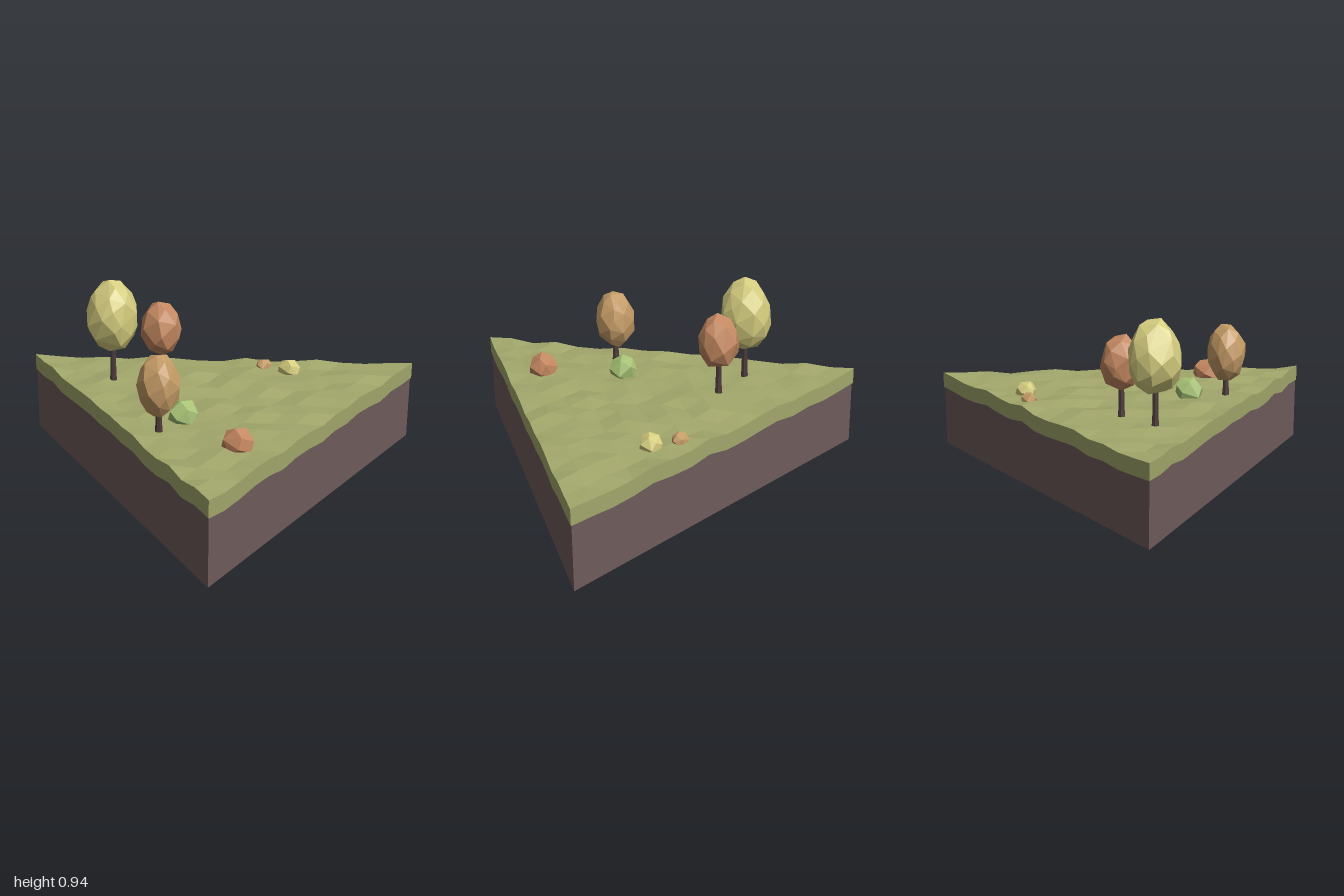
import * as THREE from 'three';
import { ConvexGeometry } from 'three/addons/geometries/ConvexGeometry.js';

const APEX = -0.866, LENGTH = 1.732, ROWS = 16;

function seeded(seed) {
  let s = seed * 7919 + 17;
  return () => {
    s = (s * 16807) % 2147483647;
    return s / 2147483647;
  };
}

function makeMesh(name, geometry, color) {
  const material = new THREE.MeshStandardMaterial({ color, flatShading: true });
  const mesh = new THREE.Mesh(geometry, material);
  mesh.name = name;
  return mesh;
}

// Triangular slab of turf: a bumpy grid on top, the same grid below, and a skirt
function turfGeometry() {
  const random = seeded(5), thickness = 0.083, pos = [];
  const grid = [];
  for (let i = 0; i <= ROWS; i++) {
    grid.push([]);
    for (let j = 0; j <= i; j++) {
      const corner = (i === 0) || (i === ROWS && (j === 0 || j === ROWS));
      const y = corner ? 0.41 : 0.394 + 0.023 * random();
      grid[i].push(new THREE.Vector3(APEX + LENGTH * i / ROWS, y, (2 * j - i) / ROWS));
    }
  }
  const low = p => new THREE.Vector3(p.x, p.y - thickness, p.z);
  const tri = (...points) => points.forEach(p => pos.push(p.x, p.y, p.z));
  const layers = (a, b, c) => {
    tri(a, b, c);
    tri(low(a), low(c), low(b));
  };
  for (let i = 0; i < ROWS; i++) {
    for (let j = 0; j <= i; j++) {
      layers(grid[i][j], grid[i + 1][j + 1], grid[i + 1][j]);
      if (j < i) layers(grid[i][j], grid[i][j + 1], grid[i + 1][j + 1]);
    }
  }
  const rim = [];
  for (let i = 0; i < ROWS; i++) rim.push(grid[i][i]);
  for (let j = ROWS; j > 0; j--) rim.push(grid[ROWS][j]);
  for (let i = ROWS; i > 0; i--) rim.push(grid[i][0]);
  rim.forEach((p, k) => {
    const q = rim[(k + 1) % rim.length];
    tri(p, low(p), low(q));
    tri(p, low(q), q);
  });
  const geometry = new THREE.BufferGeometry();
  geometry.setAttribute('position', new THREE.Float32BufferAttribute(pos, 3));
  geometry.computeVertexNormals();
  return geometry;
}

// Faceted egg: convex hull of jittered points spread evenly over an ellipsoid
function facetedBlob(count, radius, height, seed, minY = -1) {
  const random = seeded(seed), points = [];
  for (let k = 0; k < count; k++) {
    const v = 1 - 2 * (k + 0.5) / count;
    const ring = Math.sqrt(1 - v * v);
    const angle = k * 2.39996 + 0.5 * (random() - 0.5);
    const r = radius * (0.98 + 0.1 * random()) * (1 - 0.07 * v);
    const y = Math.max(minY, v * 1.03 + 0.08 * (random() - 0.5));
    points.push(new THREE.Vector3(r * ring * Math.sin(angle), y * height / 2, r * ring * Math.cos(angle)));
  }
  return new ConvexGeometry(points);
}

function makeTree({ x, z, bottom, top, radius, facets, color, seed }) {
  const tree = new THREE.Group();
  tree.name = 'tree';
  const base = 0.385, trunkTop = bottom + 0.06;
  // Trunk flares slightly at the foot
  const profile = [[0, 0], [0.021, 0], [0.016, 0.06], [0.013, trunkTop - base], [0, trunkTop - base]];
  const trunk = makeMesh('trunk', new THREE.LatheGeometry(profile.map(p => new THREE.Vector2(...p)), 7), 0x4d3b3b);
  trunk.position.y = base;
  const crown = makeMesh('crown', facetedBlob(facets, radius, top - bottom, seed), color);
  crown.position.y = (top + bottom) / 2;
  tree.add(trunk, crown);
  tree.position.set(x, 0, z);
  return tree;
}

export function createModel() {
  const model = new THREE.Group();
  model.name = 'triangularWoodlandTile';

  // Soil prism, set in a little under the turf
  const soil = makeMesh('soil', new THREE.CylinderGeometry(1.147, 1.147, 0.345, 3, 1, false, -Math.PI / 2), 0x705c5c);
  soil.position.set(APEX + 1.1547, 0.1725, 0);
  model.add(soil, makeMesh('turf', turfGeometry(), 0xa3a86c));

  const YELLOW = 0xd6ce80, ORANGE = 0xc48860, TAN = 0xc49b66, GREEN = 0xa6c174;

  // Trees
  [
    { x: -0.29, z: 0.08, bottom: 0.57, top: 0.935, radius: 0.128, facets: 44, color: YELLOW, seed: 3 },
    { x: -0.1, z: -0.07, bottom: 0.54, top: 0.82, radius: 0.102, facets: 30, color: ORANGE, seed: 8 },
    { x: 0.28, z: 0.505, bottom: 0.485, top: 0.78, radius: 0.1, facets: 40, color: TAN, seed: 12 },
  ].forEach(tree => model.add(makeTree(tree)));

  // Low shrubs: x, z, radius, top, colour
  [
    [0.29, 0.31, 0.074, 0.505, GREEN],
    [0.68, 0.46, 0.076, 0.505, ORANGE],
    [0.385, -0.535, 0.057, 0.473, YELLOW],
    [0.24, -0.525, 0.043, 0.452, TAN],
  ].forEach(([x, z, radius, top, color], k) => {
    const height = (top - 0.385) * 1.25;
    const shrub = makeMesh('shrub', facetedBlob(16, radius, height, 21 + k, -0.6), color);
    shrub.position.set(x, top - height / 2, z);
    model.add(shrub);
  });

  return model;
}
